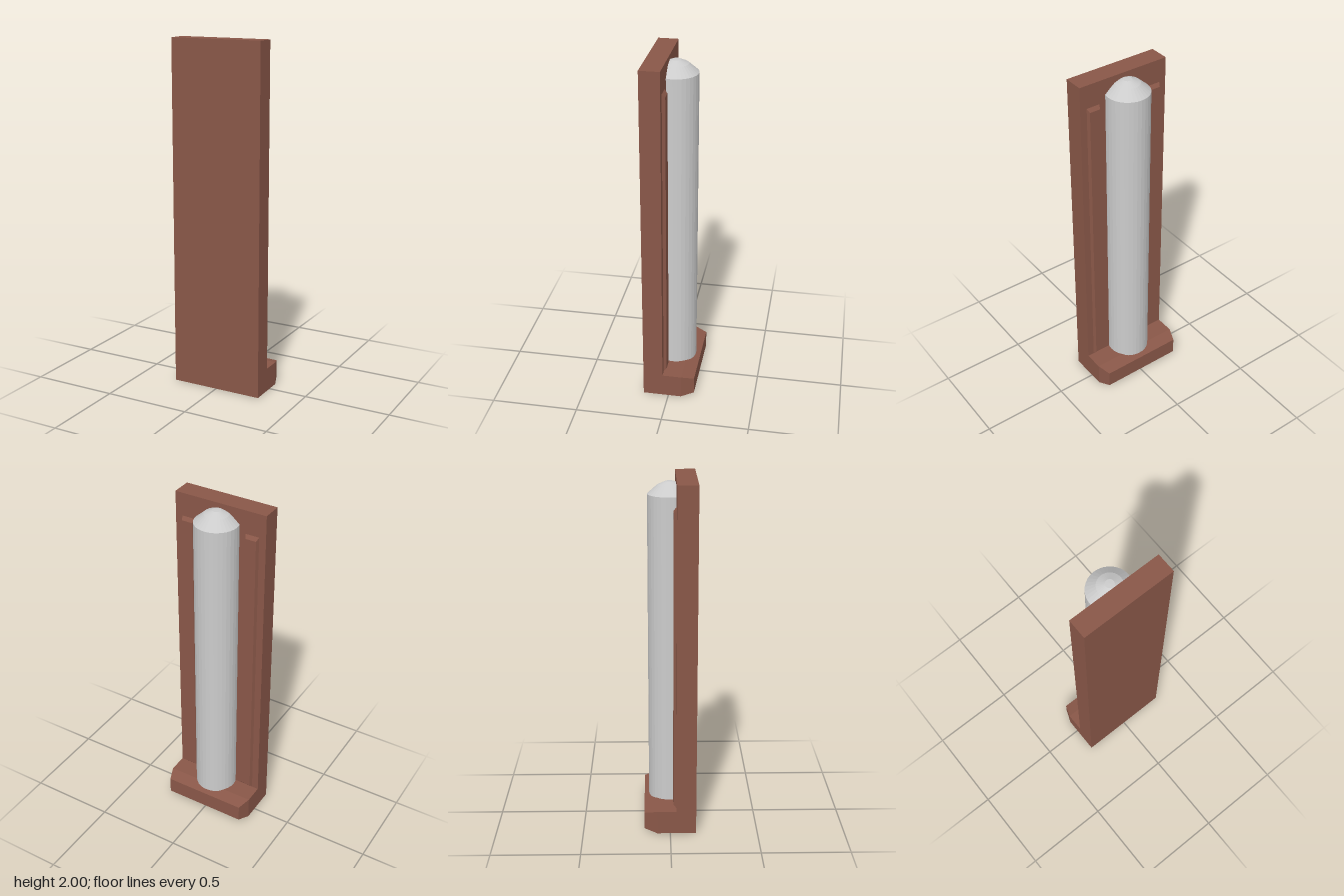
import * as THREE from 'three';

const brown = new THREE.MeshStandardMaterial({ color: 0x895748, flatShading: true });
const grey = new THREE.MeshStandardMaterial({ color: 0xcccccc, flatShading: true });

function add(group, name, geometry, material, x, y, z) {
  const mesh = new THREE.Mesh(geometry, material);
  mesh.name = name;
  mesh.position.set(x, y, z);
  group.add(mesh);
  return mesh;
}

// Box whose rear (-z) face is drawn in by insetX and insetY on each side
function taperedBox(w, h, d, insetX, insetY) {
  const geometry = new THREE.BoxGeometry(w, h, d);
  const p = geometry.attributes.position;
  for (let i = 0; i < p.count; i++) {
    if (p.getZ(i) > 0) continue;
    p.setX(i, p.getX(i) - Math.sign(p.getX(i)) * insetX);
    p.setY(i, p.getY(i) - Math.sign(p.getY(i)) * insetY);
  }
  geometry.computeVertexNormals();
  return geometry;
}

export function createModel() {
  const model = new THREE.Group();
  model.name = 'wallColumn';
  const width = 0.544;

  // Wall slab and the foot behind it, with its chamfered rear end
  add(model, 'wallPanel', new THREE.BoxGeometry(width, 2, 0.113), brown, 0, 1, 0.0915);
  add(model, 'foot', new THREE.BoxGeometry(width, 0.137, 0.11), brown, 0, 0.0685, -0.02);
  add(model, 'footChamfer', taperedBox(width, 0.137, 0.073, 0.027, 0.019), brown, 0, 0.0685, -0.1115);

  // Raised strips on either side of the column
  for (const side of [-1, 1]) {
    add(model, side > 0 ? 'leftStrip' : 'rightStrip',
      taperedBox(0.079, 1.727, 0.017, 0.0085, 0.019), brown, side * 0.1925, 1.0035, 0.0265);
  }

  // Round column with a stepped dome
  const profile = [[0.122, 0.13], [0.122, 1.91], [0.068, 1.958], [0.024, 1.978], [0, 1.979]];
  add(model, 'column',
    new THREE.LatheGeometry(profile.map(([r, y]) => new THREE.Vector2(r, y)), 32), grey, 0, 0, 0);

  return model;
}
